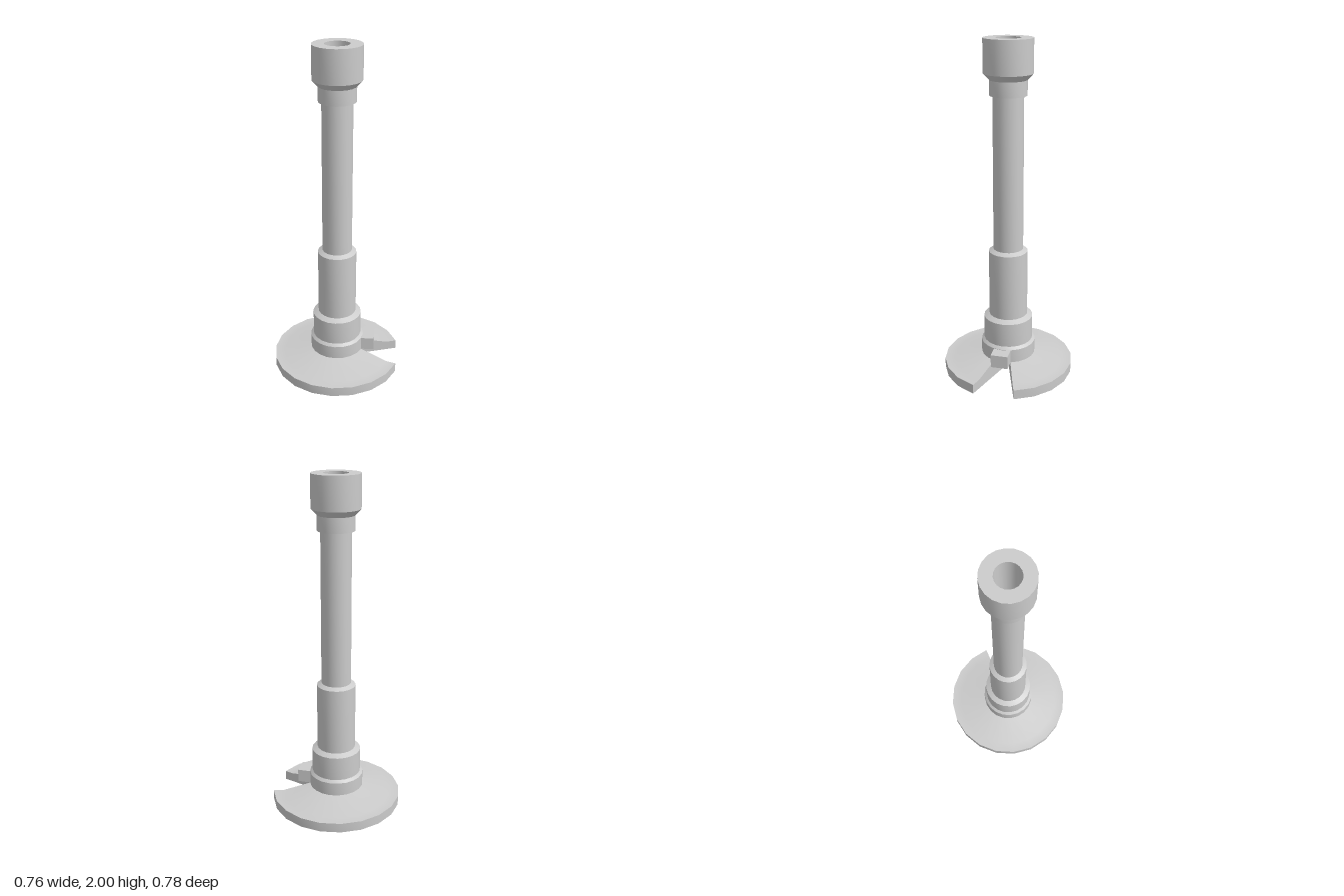
import * as THREE from 'three';
import { toCreasedNormals } from 'three/addons/utils/BufferGeometryUtils.js';

const SIDES = 20;
const STEP = (Math.PI * 2) / SIDES;
const AXIS_X = 0.007;

export function createModel() {
  const group = new THREE.Group();
  const grey = new THREE.MeshStandardMaterial({ color: 0xcccccc });
  const thin = new THREE.MeshStandardMaterial({ color: 0xcccccc, side: THREE.DoubleSide });

  const add = (name, geometry, material = grey) => {
    const mesh = new THREE.Mesh(geometry, material);
    mesh.name = name;
    group.add(mesh);
    return mesh;
  };
  const turned = (profile, segments, start, sweep) => toCreasedNormals(
    new THREE.LatheGeometry(profile.map(([r, y]) => new THREE.Vector2(r, y)), segments, start, sweep), 0.42);

  // Round foot with a two-segment wedge cut out around +x
  const foot = [[0, 0], [0.392, 0], [0.392, 0.058], [0.33, 0.058], [0.16, 0.105], [0, 0.105]];
  add('foot', turned(foot, SIDES - 2, Math.PI / 2 + STEP, STEP * (SIDES - 2))).position.x = AXIS_X;

  // Flat walls on both sides of the wedge
  const section = new THREE.Shape(foot.map(([r, y]) => new THREE.Vector2(r, y)));
  for (const side of [-1, 1]) {
    const wall = add(side < 0 ? 'frontWedgeWall' : 'backWedgeWall', new THREE.ShapeGeometry(section), thin);
    wall.position.x = AXIS_X;
    wall.rotation.y = side * STEP;
  }

  // Stepped column: outside from bottom to top, then down the bore to its floor
  const column = [
    [0, 0.105], [0.163, 0.105], [0.163, 0.187], [0.147, 0.202],
    [0.147, 0.348], [0.115, 0.365],
    [0.115, 0.77], [0.088, 0.785],
    [0.088, 1.69], [0.107, 1.69],
    [0.107, 1.775], [0.14, 1.81],
    [0.14, 2], [0.07, 2], [0.07, 0.108], [0, 0.108],
  ];
  add('column', turned(column, SIDES, 0, Math.PI * 2)).position.x = AXIS_X;

  // Square inlet stub above the wedge
  add('inletStub', new THREE.BoxGeometry(0.1, 0.08, 0.102)).position.set(0.19, 0.145, 0);

  return group;
}
